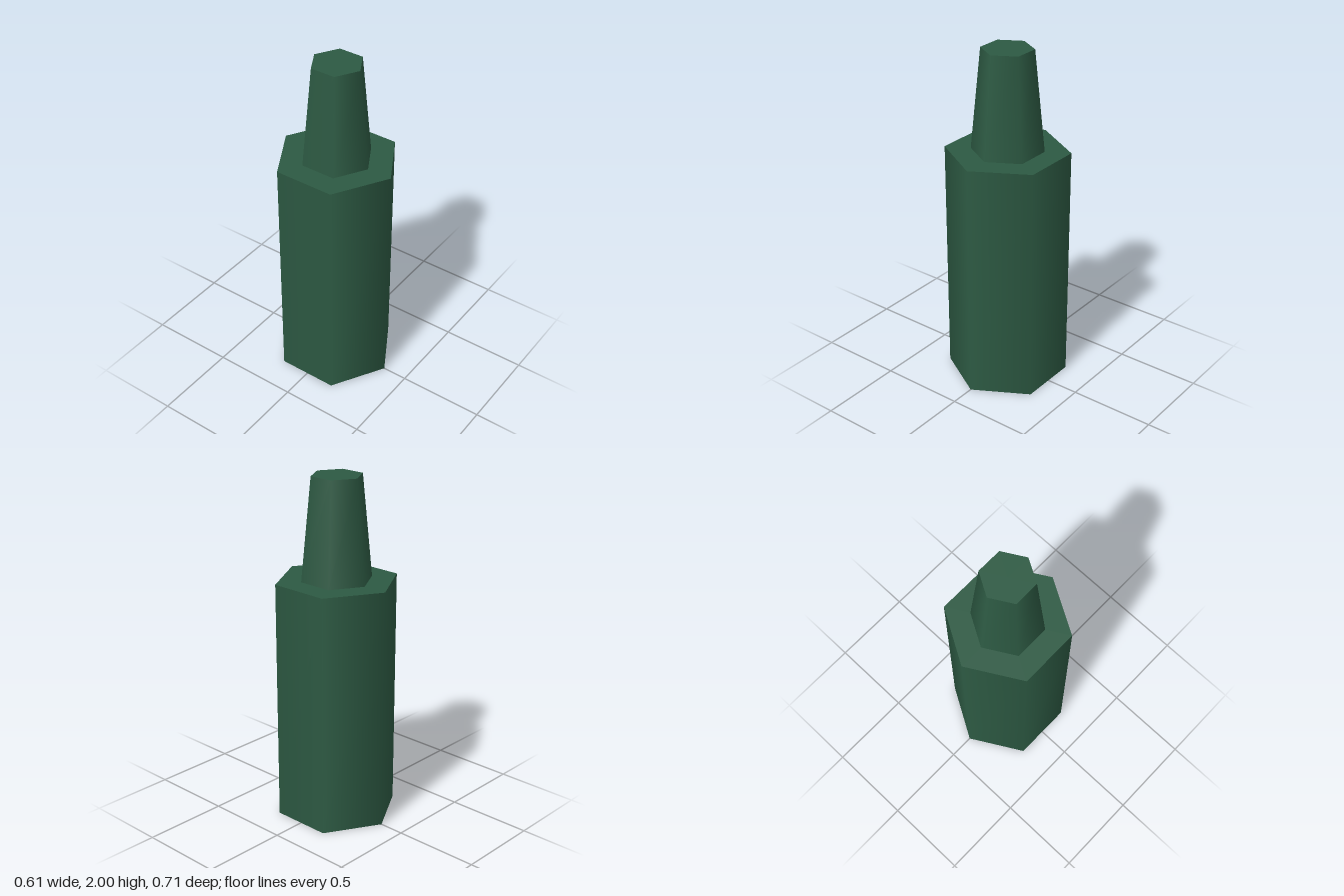
import * as THREE from 'three';

const SIDES = 6;

export function createModel() {
  const group = new THREE.Group();
  const green = new THREE.MeshStandardMaterial({ color: 0x2d5a43 });
  green.name = 'bottle green';

  // Six-sided section with smooth side normals, standing on baseY
  function addSection(name, topRadius, bottomRadius, baseY, height) {
    const geometry = new THREE.CylinderGeometry(topRadius, bottomRadius, height, SIDES);
    const mesh = new THREE.Mesh(geometry, green);
    mesh.name = name;
    mesh.position.y = baseY + height / 2;
    group.add(mesh);
  }

  // Straight body, then the tapering neck
  addSection('body', 0.353, 0.353, 0, 1.412);
  addSection('neck', 0.147, 0.206, 1.412, 0.588);

  return group;
}
